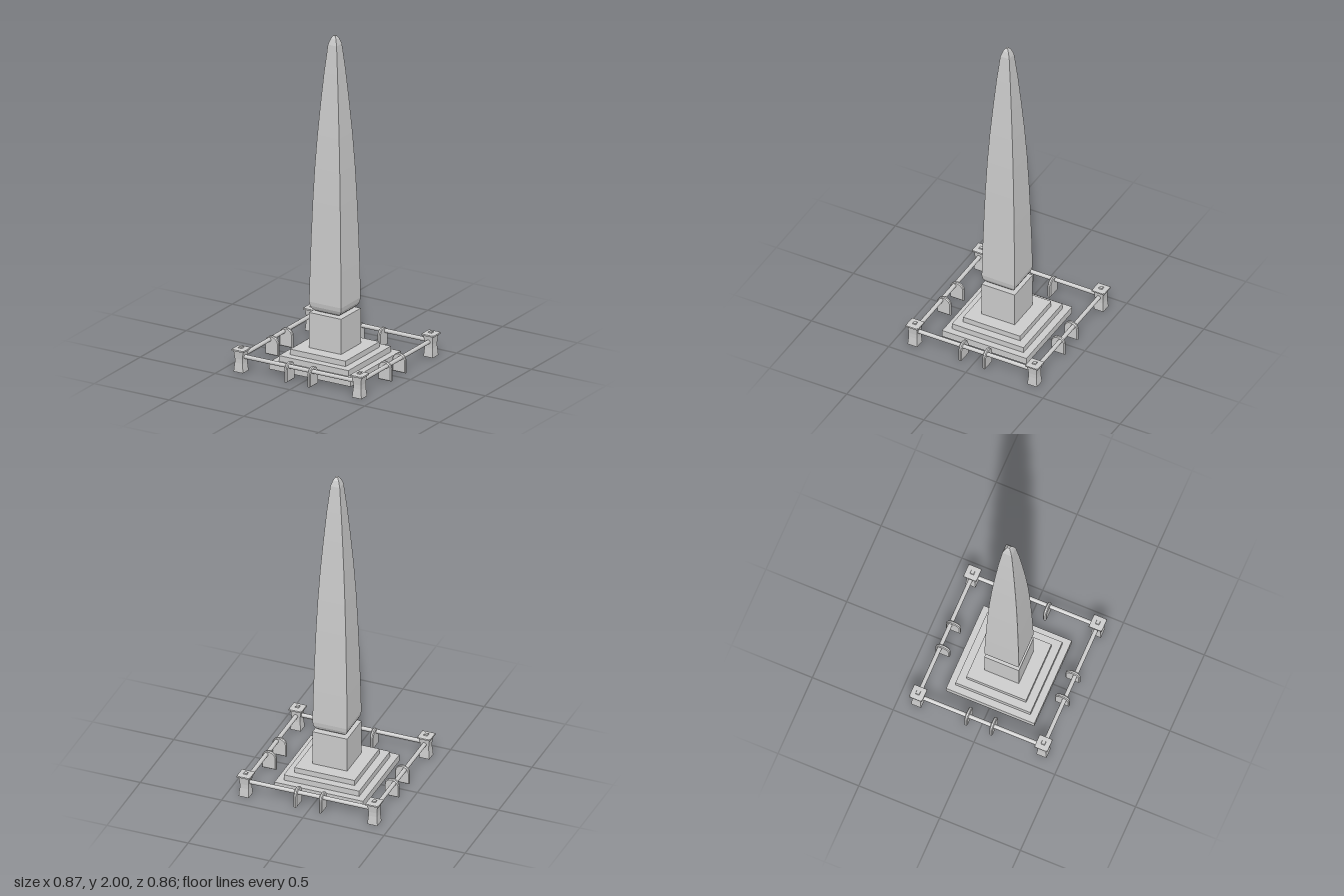
import * as THREE from 'three';

const flat = new THREE.MeshStandardMaterial({ color: 0xcccccc, flatShading: true, side: THREE.DoubleSide });
const smooth = new THREE.MeshStandardMaterial({ color: 0xcccccc });

// Square-section solid from [half width, height] pairs, listed from the bottom up
function squareProfile(name, pairs) {
  const points = pairs.map(([half, y]) => new THREE.Vector2(half * Math.SQRT2, y));
  const mesh = new THREE.Mesh(new THREE.LatheGeometry(points, 4, Math.PI / 4), flat);
  mesh.name = name;
  return mesh;
}

// Upright slab with a round top and bevelled edges, centred on its thickness
function archGeometry() {
  const bevel = 0.005, r = 0.044 - bevel, spring = 0.071;
  const shape = new THREE.Shape();
  shape.moveTo(-r, bevel);
  shape.lineTo(r, bevel);
  shape.lineTo(r, spring);
  shape.absarc(0, spring, r, 0, Math.PI, false);
  shape.closePath();
  const geometry = new THREE.ExtrudeGeometry(shape, {
    depth: 0.01, bevelEnabled: true, bevelThickness: bevel, bevelSize: bevel, bevelSegments: 1, curveSegments: 12,
  });
  return geometry.translate(0, 0, -0.005);
}

export function createModel() {
  const model = new THREE.Group();
  model.name = 'obeliskMonument';

  // Hollow stepped base and pedestal, open underneath
  const monument = new THREE.Group();
  monument.name = 'monument';
  monument.position.set(-0.003, 0, 0.005);
  monument.add(squareProfile('steppedPedestal', [
    [0.273, 0], [0.273, 0.042], [0.232, 0.042], [0.232, 0.077],
    [0.185, 0.077], [0.185, 0.11], [0.107, 0.11], [0.107, 0.324], [0, 0.324],
  ]));

  // Obelisk with a rounded foot, gently bowed sides and a pointed cap
  monument.add(squareProfile('obelisk', [
    [0, 0.325], [0.066, 0.325], [0.082, 0.334], [0.095, 0.347], [0.103, 0.364], [0.107, 0.39],
    [0.103, 0.6], [0.098, 0.8], [0.092, 1.0], [0.084, 1.2], [0.073, 1.4],
    [0.059, 1.6], [0.045, 1.78], [0.029, 1.945], [0.018, 1.98], [0.007, 1.998], [0, 2],
  ]));
  model.add(monument);

  // Corner posts with a waist, a flared cap and a small stud
  const postX = 0.396, zFront = 0.386, zBack = -0.39;
  for (const x of [-postX, postX]) {
    for (const z of [zBack, zFront]) {
      const post = squareProfile('cornerPost', [
        [0, 0], [0.031, 0], [0.029, 0.025], [0.026, 0.055], [0.026, 0.08], [0.029, 0.108],
        [0.031, 0.124], [0.04, 0.128], [0.04, 0.137], [0.036, 0.14], [0.012, 0.141], [0.01, 0.147], [0, 0.147],
      ]);
      post.position.set(x, 0, z);
      model.add(post);
    }
  }

  // Each side: a round rail between two posts, and two arched slabs set slightly inward
  const archShape = archGeometry();
  const zMid = (zFront + zBack) / 2;
  const sides = [
    { name: 'front', x: 0, z: zFront, turn: 0, length: 0.74 },
    { name: 'left', x: postX, z: zMid, turn: Math.PI / 2, length: 0.73 },
    { name: 'back', x: 0, z: zBack, turn: Math.PI, length: 0.74 },
    { name: 'right', x: -postX, z: zMid, turn: -Math.PI / 2, length: 0.73 },
  ];
  for (const { name, x, z, turn, length } of sides) {
    const side = new THREE.Group();
    side.name = name + 'Railing';
    side.position.set(x, 0, z);
    side.rotation.y = turn;

    const rail = new THREE.Mesh(new THREE.CylinderGeometry(0.0125, 0.0125, length, 16), smooth);
    rail.name = 'rail';
    rail.rotation.z = Math.PI / 2;
    rail.position.y = 0.092;
    side.add(rail);

    for (const along of [-0.082, 0.073]) {
      const arch = new THREE.Mesh(archShape, flat);
      arch.name = 'railArch';
      arch.rotation.y = Math.PI / 2;
      arch.position.set(along, 0, -0.016);
      side.add(arch);
    }
    model.add(side);
  }
  return model;
}
